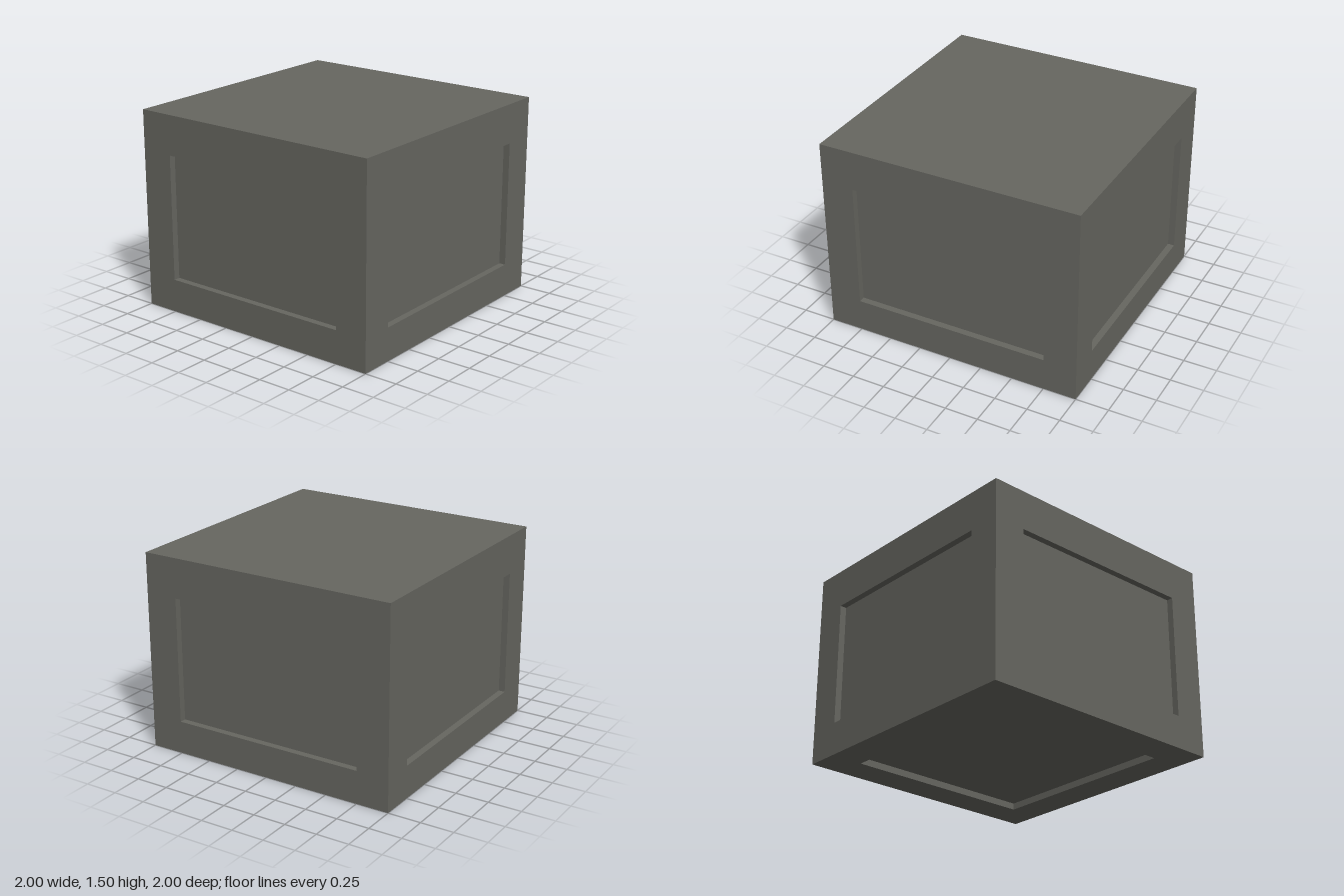
import * as THREE from 'three';

const DEPTH = 0.05;

// Corners of a rectangle, counter-clockwise
const rect = (x0, y0, x1, y1) => [[x0, y0], [x1, y0], [x1, y1], [x0, y1]].map(p => new THREE.Vector2(...p));

// Four inward-facing walls running from the face back to the sunken panel
function recessWalls(corners) {
  const pos = [];
  corners.forEach((a, i) => {
    const b = corners[(i + 1) % 4];
    pos.push(a.x, a.y, 0, b.x, b.y, 0, b.x, b.y, -DEPTH);
    pos.push(a.x, a.y, 0, b.x, b.y, -DEPTH, a.x, a.y, -DEPTH);
  });
  const geo = new THREE.BufferGeometry();
  geo.setAttribute('position', new THREE.Float32BufferAttribute(pos, 3));
  geo.computeVertexNormals();
  return geo;
}

export function createModel() {
  const model = new THREE.Group();
  model.name = 'panelledBox';
  const stone = new THREE.MeshStandardMaterial({ color: 0x666660 });
  stone.name = 'warmGrey';

  const add = (parent, name, geo) => {
    const mesh = new THREE.Mesh(geo, stone);
    mesh.name = name;
    parent.add(mesh);
    return mesh;
  };

  // A flat face, looking along +z, with a sunken rectangular panel
  function panelledFace(name, outer, inner) {
    const face = new THREE.Group();
    face.name = name;
    const border = new THREE.Shape(outer);
    border.holes.push(new THREE.Path(inner));
    add(face, 'border', new THREE.ShapeGeometry(border));
    add(face, 'recessWalls', recessWalls(inner));
    add(face, 'sunkenPanel', new THREE.ShapeGeometry(new THREE.Shape(inner))).position.z = -DEPTH;
    model.add(face);
    return face;
  }

  // Four identical sides
  ['frontSide', 'leftSide', 'backSide', 'rightSide'].forEach((name, i) => {
    const side = panelledFace(name, rect(-1, 0, 1, 1.5), rect(-0.75, 0.25, 0.75, 1.2));
    const angle = i * Math.PI / 2;
    side.rotation.y = angle;
    side.position.set(Math.sin(angle), 0, Math.cos(angle));
  });

  // Underside with a square recess
  panelledFace('underside', rect(-1, -1, 1, 1), rect(-0.75, -0.75, 0.75, 0.75)).rotation.x = Math.PI / 2;

  // Plain flat top
  const top = add(model, 'top', new THREE.PlaneGeometry(2, 2));
  top.rotation.x = -Math.PI / 2;
  top.position.y = 1.5;

  return model;
}
